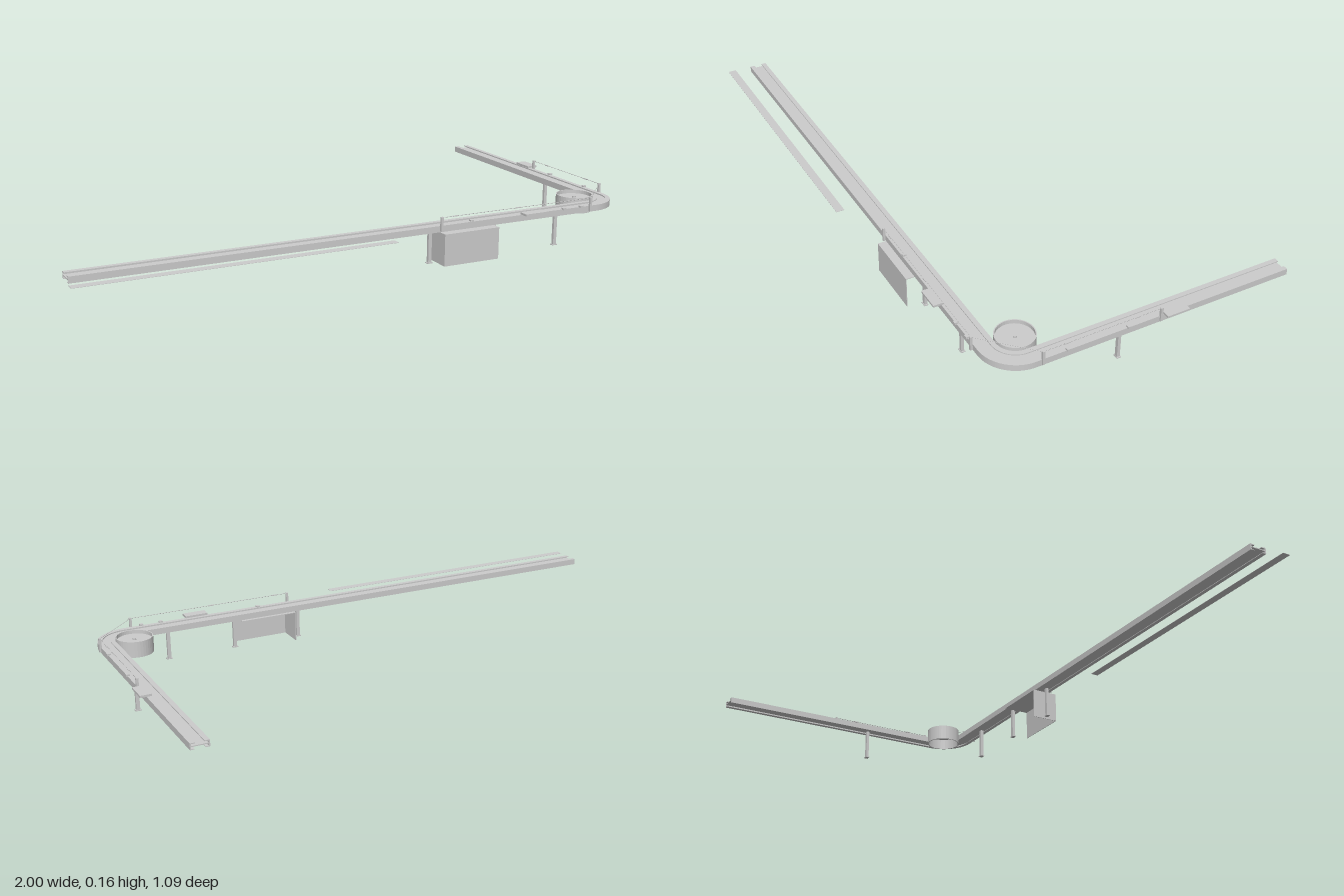
import * as THREE from 'three';

const MAT = new THREE.MeshStandardMaterial({ color: 0xcccccc, side: THREE.DoubleSide });
const CX = 0.852, CZ = 0.34;      // centre of the bend
const X_END = -0.985, Z_END = -0.545;

export function createModel() {
  const root = new THREE.Group();

  const add = (name, geometry, x = 0, y = 0, z = 0) => {
    const mesh = new THREE.Mesh(geometry, MAT);
    mesh.name = name;
    mesh.position.set(x, y, z);
    root.add(mesh);
    return mesh;
  };

  // Box given by its limits on each axis
  const box = (name, x0, x1, y0, y1, z0, z1) =>
    add(name, new THREE.BoxGeometry(x1 - x0, y1 - y0, z1 - z0), (x0 + x1) / 2, (y0 + y1) / 2, (z0 + z1) / 2);

  // Strip following the L-shaped track between two radii of the bend
  const strip = (name, r0, r1, y0, y1) => {
    const s = new THREE.Shape();
    s.moveTo(X_END, -CZ - r1);
    s.lineTo(CX, -CZ - r1);
    s.absarc(CX, -CZ, r1, -Math.PI / 2, 0, false);
    s.lineTo(CX + r1, -Z_END);
    s.lineTo(CX + r0, -Z_END);
    s.lineTo(CX + r0, -CZ);
    s.absarc(CX, -CZ, r0, 0, -Math.PI / 2, true);
    s.lineTo(X_END, -CZ - r0);
    const g = new THREE.ExtrudeGeometry(s, { depth: y1 - y0, bevelEnabled: false, curveSegments: 16 });
    g.rotateX(-Math.PI / 2);
    add(name, g, 0, y0, 0);
  };

  // Conveyor: side walls with flanges, and the chain bed between them
  strip('innerSideRail', 0.062, 0.066, 0.108, 0.129);
  strip('outerSideRail', 0.118, 0.122, 0.108, 0.129);
  strip('innerTopFlange', 0.062, 0.078, 0.126, 0.129);
  strip('outerTopFlange', 0.106, 0.122, 0.126, 0.129);
  strip('innerBottomFlange', 0.062, 0.076, 0.108, 0.11);
  strip('outerBottomFlange', 0.108, 0.122, 0.108, 0.11);
  strip('chainBed', 0.066, 0.118, 0.117, 0.12);

  // Corner drum: thin rim, recessed disc, open underneath
  const drum = [[0.0625, 0.085], [0.0625, 0.14], [0.059, 0.14], [0.059, 0.085], [0.0625, 0.085]];
  const rim = new THREE.LatheGeometry(drum.map(p => new THREE.Vector2(...p)), 40).toNonIndexed();
  rim.computeVertexNormals();
  add('drumRim', rim, CX, 0, CZ);
  add('drumDisc', new THREE.CylinderGeometry(0.06, 0.06, 0.003, 40), CX, 0.126, CZ);
  add('drumHub', new THREE.CylinderGeometry(0.006, 0.006, 0.006, 12), CX, 0.13, CZ);

  // Legs with foot plates
  for (const [x, z] of [[0.215, 0.435], [0.46, 0.435], [0.705, 0.435], [0.943, 0.043]]) {
    box('leg', x - 0.006, x + 0.006, 0, 0.11, z - 0.005, z + 0.005);
    box('footPlate', x - 0.01, x + 0.01, 0, 0.003, z - 0.007, z + 0.007);
  }

  // Cabinet made of sheets, open at the bottom and two sides
  box('cabinetFront', 0.24, 0.445, 0, 0.107, 0.488, 0.49);
  box('cabinetSide', 0.24, 0.242, 0, 0.107, 0.393, 0.49);
  box('cabinetTop', 0.24, 0.445, 0.105, 0.107, 0.393, 0.49);

  // Small side shelves
  box('frontShelf', 0.55, 0.63, 0.13, 0.137, 0.455, 0.489);
  box('sideShelf', 0.957, 0.995, 0.13, 0.137, -0.168, -0.09);

  // Separate thin strip alongside the track
  box('looseStrip', -1.0, 0.04, 0.12, 0.121, 0.517, 0.545);

  // Posts carrying the pull cord
  const posts = [[0.24, 0.468], [0.825, 0.468], [0.975, 0.318], [0.975, -0.08]];
  for (const [x, z] of posts) {
    box('cordPost', x - 0.004, x + 0.004, 0.112, 0.16, z - 0.004, z + 0.004);
  }
  for (let i = 0; i < posts.length - 1; i++) {
    const a = new THREE.Vector3(posts[i][0], 0.158, posts[i][1]);
    const b = new THREE.Vector3(posts[i + 1][0], 0.158, posts[i + 1][1]);
    add('pullCord', new THREE.TubeGeometry(new THREE.LineCurve3(a, b), 1, 0.0009, 6));
  }

  // Cord clamps and small sensors
  for (const [x, z] of [[0.29, 0.468], [0.53, 0.468]]) box('cordClamp', x - 0.01, x + 0.01, 0.1565, 0.1595, z - 0.002, z + 0.002);
  for (const z of [0.24, 0.005]) box('cordClamp', 0.973, 0.977, 0.1565, 0.1595, z - 0.01, z + 0.01);
  for (const [x, z] of [[0.36, 0.455], [0.72, 0.462], [0.79, 0.462], [0.972, 0.235], [0.972, 0.03]]) {
    box('sensor', x - 0.006, x + 0.006, 0.127, 0.134, z - 0.006, z + 0.006);
  }

  return root;
}
